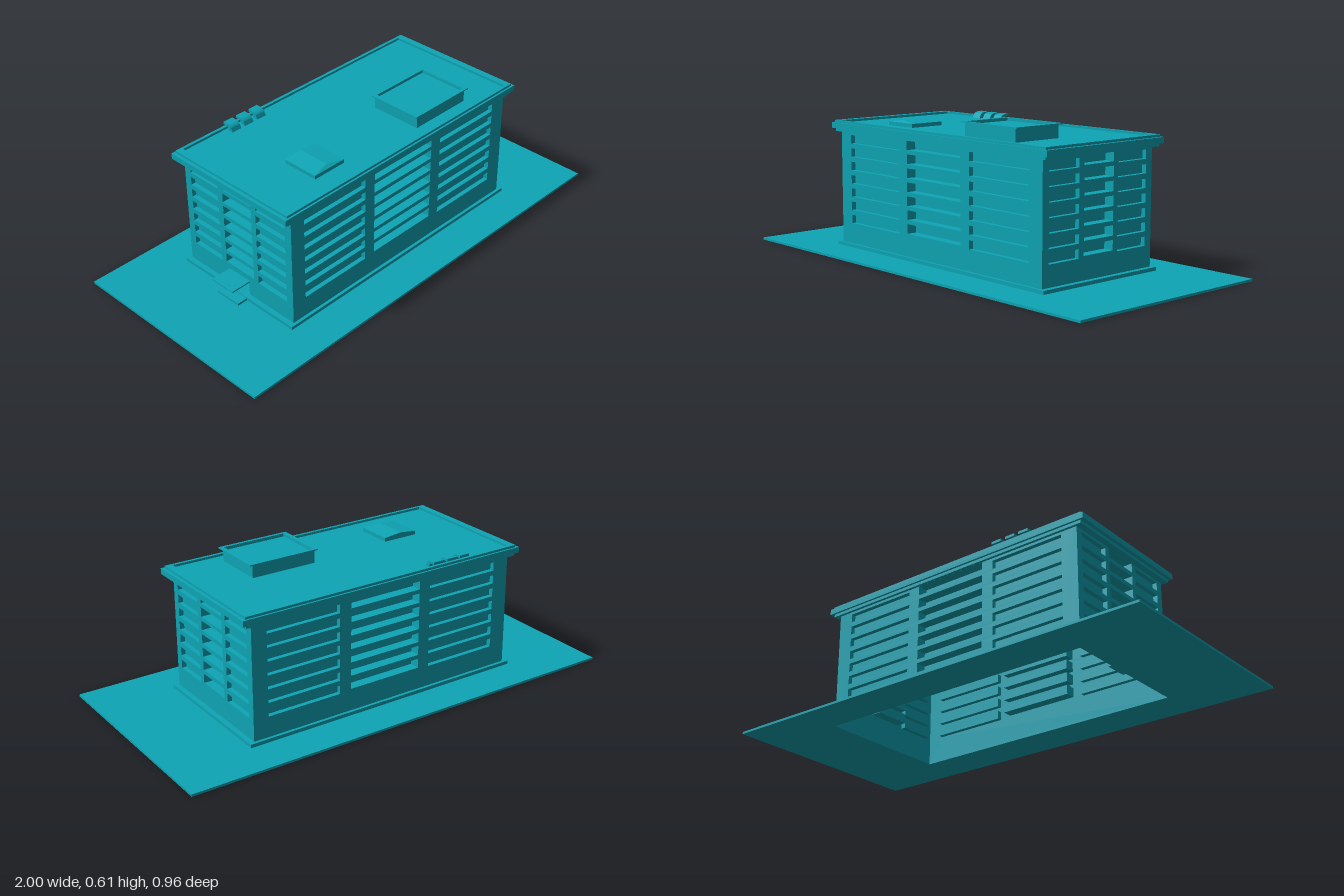
import * as THREE from 'three';

const mat = new THREE.MeshStandardMaterial({ color: 0x0ea5b5, side: THREE.DoubleSide });

function add(parent, name, geo, x = 0, y = 0, z = 0) {
  const m = new THREE.Mesh(geo, mat);
  m.name = name;
  m.position.set(x, y, z);
  parent.add(m);
  return m;
}

const box = (parent, name, x0, x1, y0, y1, z0, z1) =>
  add(parent, name, new THREE.BoxGeometry(x1 - x0, y1 - y0, z1 - z0),
    (x0 + x1) / 2, (y0 + y1) / 2, (z0 + z1) / 2);

function rect(Type, x0, x1, y0, y1) {
  return new Type([[x0, y0], [x1, y0], [x1, y1], [x0, y1]].map(([x, y]) => new THREE.Vector2(x, y)));
}

// Flat rectangular frame lying on y0, given outer and inner half sizes
function ring(parent, name, w, d, wi, di, y0, y1, x = 0, z = 0) {
  const s = rect(THREE.Shape, -w, w, -d, d);
  s.holes.push(rect(THREE.Path, -wi, wi, -di, di));
  const g = new THREE.ExtrudeGeometry(s, { depth: y1 - y0, bevelEnabled: false });
  g.rotateX(-Math.PI / 2);
  return add(parent, name, g, x, y0, z);
}

// Box without its outer face, used to line an opening
function recess(parent, name, [u0, u1, y0, y1], depth) {
  const g = new THREE.BoxGeometry(u1 - u0, y1 - y0, depth);
  const idx = Array.from(g.index.array);
  idx.splice(24, 6);
  g.setIndex(idx);
  g.clearGroups();
  add(parent, name, g, (u0 + u1) / 2, (y0 + y1) / 2, -depth / 2);
}

const HX = 0.628, HZ = 0.301, ROOF = 0.55, ROWS = 7, PITCH = 0.0583;

// One facade, facing local +z, with three columns of recessed window bands
function facade(name, half, cols, door) {
  const g = new THREE.Group();
  g.name = name;
  const wall = rect(THREE.Shape, -half, half, 0, ROOF);
  const cut = (label, r, depth) => {
    wall.holes.push(rect(THREE.Path, ...r));
    recess(g, label, r, depth);
  };
  cols.forEach(([u0, u1], c) => {
    const mid = c === 1;
    for (let i = 0; i < ROWS; i++) {
      const y = (mid ? 0.121 : 0.114) + i * PITCH;
      cut('windowBand', [u0, u1, y, y + (mid ? 0.041 : 0.037)], mid ? 0.045 : 0.02);
    }
  });
  if (door) cut('doorway', [-0.05, 0.05, 0.025, 0.088], 0.045);
  add(g, 'wall', new THREE.ShapeGeometry(wall));
  return g;
}

export function createModel() {
  const model = new THREE.Group();
  model.name = 'officeBlock';

  // Ground slab and plinth, both open under the building
  ring(model, 'groundSlab', 1, 0.48, HX, HZ, 0, 0.01);
  ring(model, 'plinth', 0.65, 0.314, HX, HZ, 0.01, 0.025);

  // Four facades
  const longCols = [[-0.56, -0.226], [-0.173, 0.164], [0.217, 0.554]];
  const shortCols = [[-0.268, -0.108], [-0.081, 0.081], [0.106, 0.267]];
  ['frontFacade', 'leftFacade', 'backFacade', 'rightFacade'].forEach((name, i) => {
    const long = i % 2 === 0;
    const f = facade(name, long ? HX : HZ, long ? longCols : shortCols, i === 3);
    const a = i * Math.PI / 2, r = long ? HZ : HX;
    f.rotation.y = a;
    f.position.set(Math.sin(a) * r, 0, Math.cos(a) * r);
    model.add(f);
  });

  // Stepped cornice and sunken roof deck
  ring(model, 'corniceLower', 0.655, 0.313, HX, HZ, 0.512, 0.525);
  ring(model, 'corniceBand', 0.672, 0.322, HX, HZ, 0.525, 0.55);
  ring(model, 'parapet', 0.658, 0.314, HX, HZ, 0.55, 0.56);
  const deck = new THREE.PlaneGeometry(2 * HX, 2 * HZ);
  deck.rotateX(-Math.PI / 2);
  add(model, 'roofDeck', deck, 0, ROOF, 0);

  // Rooftop plant room with a rimmed top
  const plant = new THREE.Group();
  plant.name = 'plantRoom';
  box(plant, 'plantBody', 0.131, 0.424, ROOF, 0.597, 0.018, 0.248);
  ring(plant, 'plantWall', 0.1465, 0.115, 0.142, 0.11, 0.597, 0.605, 0.2775, 0.133);
  ring(plant, 'plantRim', 0.161, 0.1235, 0.142, 0.11, 0.605, 0.61, 0.279, 0.1335);
  model.add(plant);

  // Skylight: low kerb with a shallow hipped lid
  box(model, 'skylightKerb', -0.41, -0.25, ROOF, 0.566, 0.05, 0.21);
  const lid = new THREE.BoxGeometry(0.16, 0.009, 0.16, 2, 1, 1);
  const p = lid.attributes.position;
  for (let i = 0; i < p.count; i++) {
    if (p.getY(i) <= 0) continue;
    if (Math.abs(p.getX(i)) > 0.01) p.setY(i, -0.0044);
    else if (p.getZ(i) > 0) p.setZ(i, 0.062);
  }
  const flatLid = lid.toNonIndexed();
  flatLid.computeVertexNormals();
  add(model, 'skylightLid', flatLid, -0.33, 0.5705, 0.13);

  // Three bent roof vents reaching over the back parapet
  const bend = new THREE.Shape();
  bend.moveTo(0.262, ROOF);
  bend.lineTo(0.27, 0.566);
  bend.quadraticCurveTo(0.276, 0.574, 0.29, 0.577);
  bend.lineTo(0.315, 0.578);
  bend.lineTo(0.315, 0.567);
  bend.lineTo(0.295, 0.567);
  bend.quadraticCurveTo(0.287, 0.565, 0.284, ROOF);
  const vent = new THREE.ExtrudeGeometry(bend, { depth: 0.047, bevelEnabled: false, curveSegments: 5 });
  vent.rotateY(Math.PI / 2);
  for (const x of [-0.405, -0.338, -0.27]) add(model, 'roofVent', vent, x, 0, 0);

  // Entrance canopy and step
  box(model, 'entranceCanopy', -0.722, -HX, 0.089, 0.095, -0.064, 0.055);
  box(model, 'entranceStep', -0.697, -0.64, 0.01, 0.02, -0.064, 0.055);

  return model;
}
